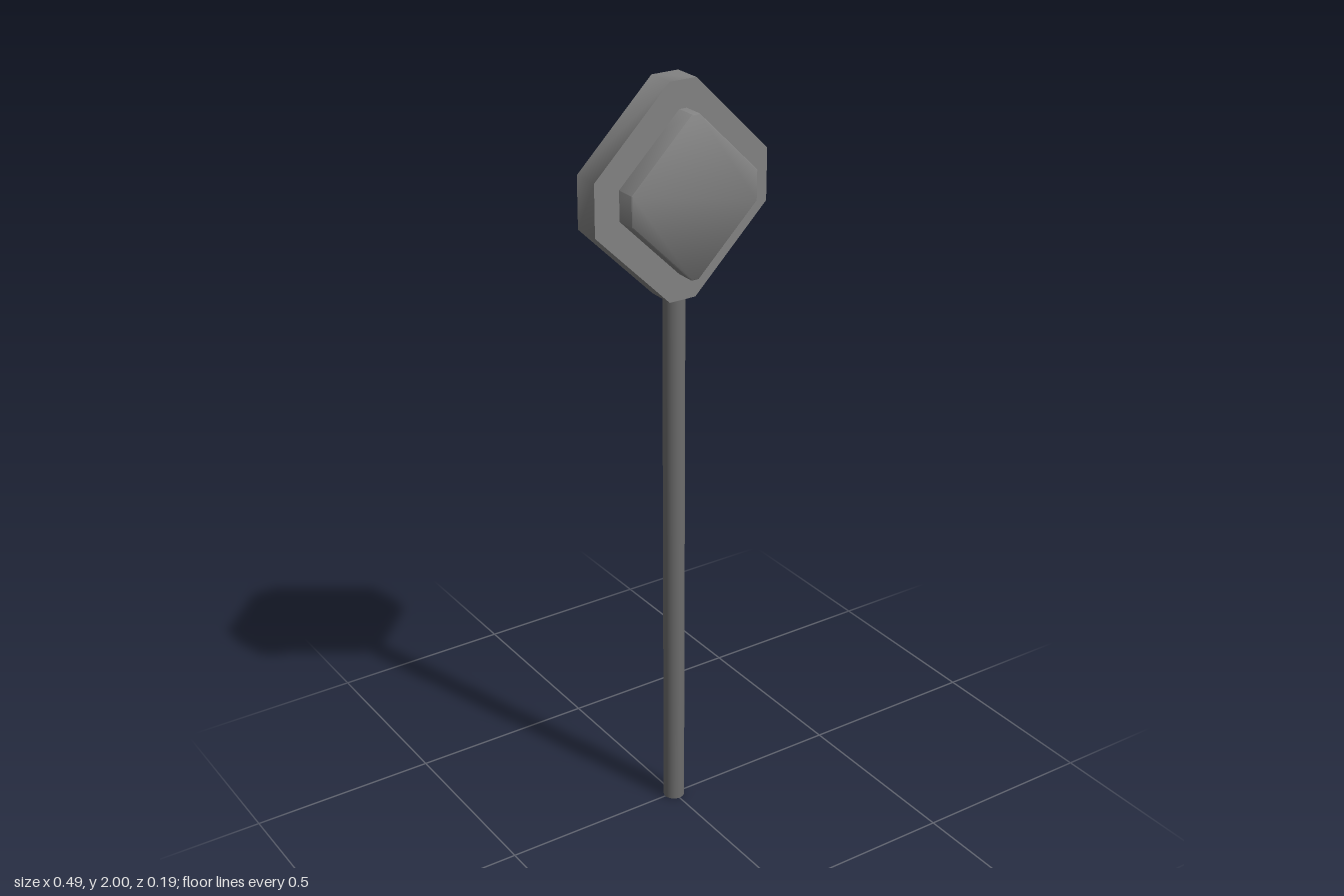
import * as THREE from 'three';
import { toCreasedNormals } from 'three/addons/utils/BufferGeometryUtils.js';

const headMaterial = new THREE.MeshStandardMaterial({ color: 0x838383 });
const poleMaterial = new THREE.MeshStandardMaterial({ color: 0x6c6c6c });
const CENTRE_Y = 1.73;

// Diamond slab with softly shaded cut corners, centred on z = 0.
// halfW / halfH: outer half sizes; cutX / cutY: half lengths of the cut corners.
function diamondSlab(name, halfW, halfH, cutX, cutY, depth, bevel) {
  const points = [
    [cutX, halfH], [-cutX, halfH], [-halfW, cutY], [-halfW, -cutY],
    [-cutX, -halfH], [cutX, -halfH], [halfW, -cutY], [halfW, cutY],
  ].map(([x, y]) => new THREE.Vector2(x, y));
  const geometry = new THREE.ExtrudeGeometry(new THREE.Shape(points), {
    depth: depth - 2 * bevel,
    bevelEnabled: bevel > 0,
    bevelSize: bevel,
    bevelOffset: -bevel,
    bevelThickness: bevel,
    bevelSegments: 1,
  });
  geometry.translate(0, CENTRE_Y, -depth / 2 + bevel);
  const mesh = new THREE.Mesh(toCreasedNormals(geometry, THREE.MathUtils.degToRad(50)), headMaterial);
  mesh.name = name;
  return mesh;
}

export function createModel() {
  const model = new THREE.Group();
  model.name = 'signPost';

  // Round pole, its top tucked just inside the plate
  const poleHeight = 1.48;
  const pole = new THREE.Mesh(new THREE.CylinderGeometry(0.028, 0.028, poleHeight, 24), poleMaterial);
  pole.position.y = poleHeight / 2;
  pole.name = 'pole';
  model.add(pole);

  // Crisp border plate and the thicker, soft-edged panel standing out on both faces
  model.add(diamondSlab('borderPlate', 0.243, 0.27, 0.037, 0.066, 0.075, 0));
  model.add(diamondSlab('raisedPanel', 0.176, 0.202, 0.01, 0.038, 0.185, 0.002));

  return model;
}
